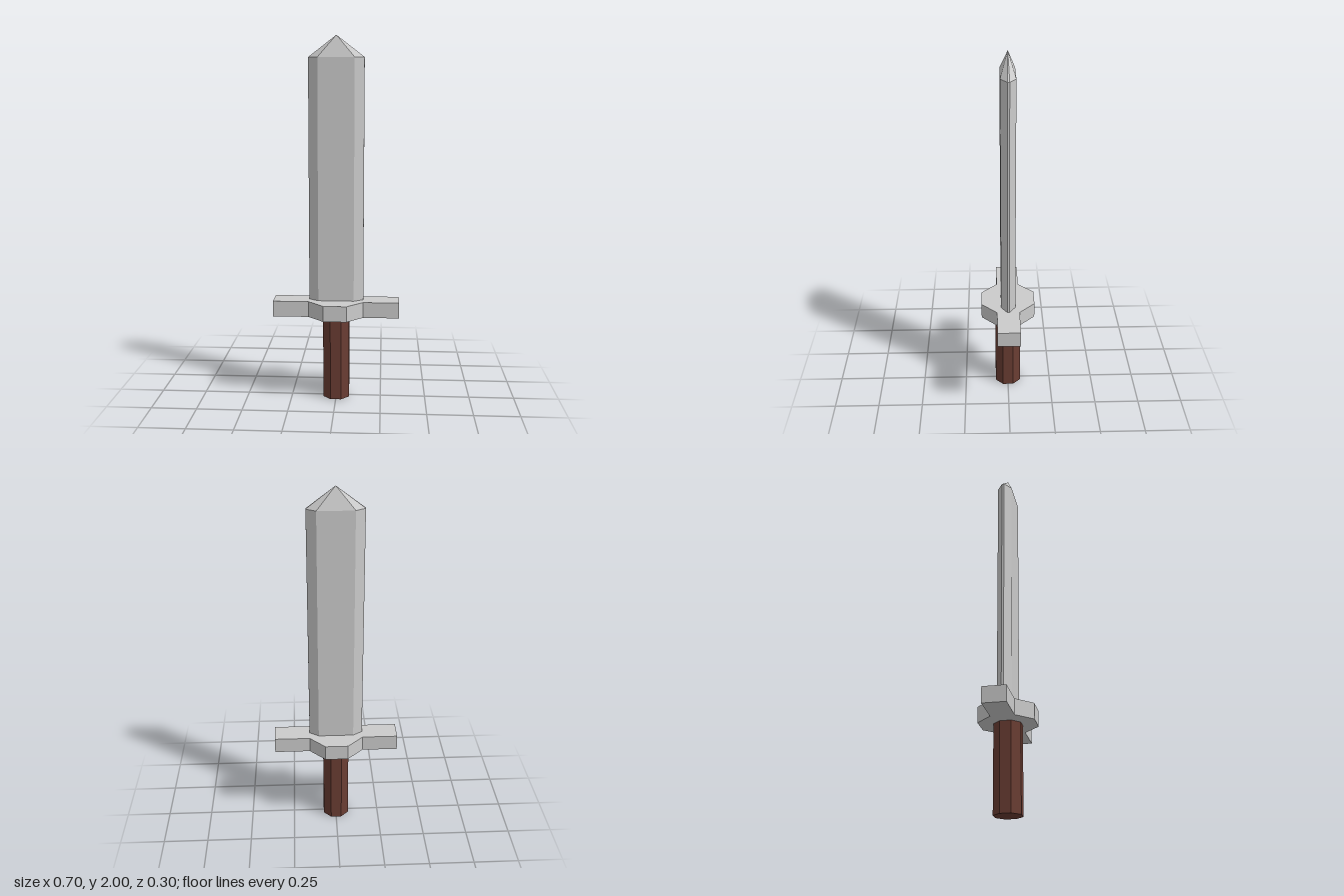
import * as THREE from 'three';

const steel = new THREE.MeshStandardMaterial({ color: 0xcccccc, flatShading: true });
const wood = new THREE.MeshStandardMaterial({ color: 0x6a3d33, flatShading: true });

// Mirror one quarter of an outline into a full counter-clockwise loop
function mirrorOutline(quarter) {
  const back = [...quarter].reverse();
  return [
    ...quarter,
    ...back.map(([x, y]) => [-x, y]),
    ...quarter.map(([x, y]) => [-x, -y]),
    ...back.map(([x, y]) => [x, -y]),
  ].map(([x, y]) => new THREE.Vector2(x, y));
}

// Upright prism from a plan outline
function prism(outline, y0, y1) {
  const geo = new THREE.ExtrudeGeometry(new THREE.Shape(outline), { depth: y1 - y0, bevelEnabled: false });
  return geo.rotateX(-Math.PI / 2).translate(0, y0, 0);
}

// Fan of triangles from a plan outline up to a point
function point(outline, y0, y1) {
  const pos = [];
  outline.forEach((a, i) => {
    const b = outline[(i + 1) % outline.length];
    pos.push(a.x, y0, -a.y, b.x, y0, -b.y, 0, y1, 0);
  });
  const geo = new THREE.BufferGeometry();
  geo.setAttribute('position', new THREE.Float32BufferAttribute(pos, 3));
  geo.computeVertexNormals();
  return geo;
}

export function createModel() {
  const group = new THREE.Group();
  const add = (name, geo, mat) => {
    const mesh = new THREE.Mesh(geo, mat);
    mesh.name = name;
    group.add(mesh);
    return mesh;
  };

  // Eight-sided grip with flats facing front and side
  const grip = new THREE.CylinderGeometry(0.078, 0.078, 0.48, 8, 1, false, Math.PI / 8);
  add('grip', grip.translate(0, 0.24, 0), wood);

  // Crossguard: bar with an octagonal centre
  const guard = mirrorOutline([[0.348, 0.063], [0.15, 0.063], [0.063, 0.15]]);
  add('crossguard', prism(guard, 0.475, 0.562), steel);

  // Blade with bevelled edges and a faceted tip
  const blade = mirrorOutline([[0.15, 0.006], [0.098, 0.04]]);
  add('blade', prism(blade, 0.55, 1.885), steel);
  add('bladeTip', point(blade, 1.885, 2), steel);

  return group;
}
